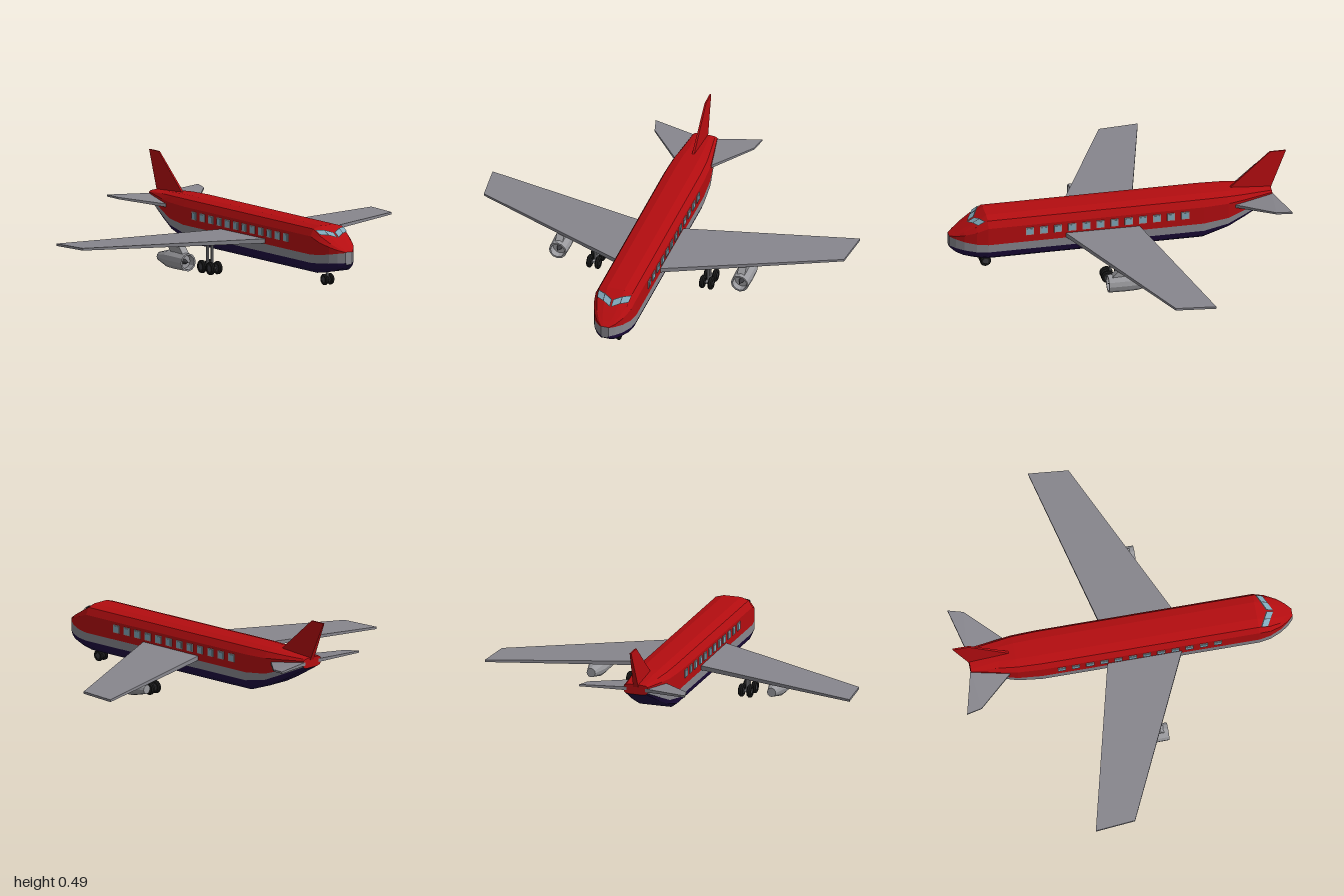
import * as THREE from 'three';
import { ConvexGeometry } from 'three/addons/geometries/ConvexGeometry.js';

const mat = (color) => new THREE.MeshStandardMaterial({ color, flatShading: true, side: THREE.DoubleSide });
const V = (x, y, z) => new THREE.Vector3(x, y, z);
const lerp = THREE.MathUtils.lerp;

// Fuselage stations: x, bottom, belly top, stripe top, roof, half width
const STATIONS = [
  [-0.81, 0.245, 0.257, 0.272, 0.298, 0.065],
  [-0.66, 0.16, 0.19, 0.215, 0.306, 0.09],
  [-0.57, 0.115, 0.152, 0.185, 0.312, 0.104],
  [-0.44, 0.07, 0.127, 0.17, 0.315, 0.11],
  [0.7, 0.07, 0.127, 0.17, 0.315, 0.11],
  [0.76, 0.08, 0.13, 0.175, 0.277, 0.101],
  [0.82, 0.092, 0.135, 0.183, 0.241, 0.077],
  [0.86, 0.108, 0.139, 0.19, 0.216, 0.05],
  [0.89, 0.132, 0.142, 0.195, 0.199, 0.02],
];

// Closed 16-point ring of one station, from the keel up the +z side and down the other
function ring([x, yb, y1, y2, yt, w]) {
  const half = [
    [0, yb], [0.6, yb], [0.88, lerp(yb, y1, 0.4)], [1, y1], [1, y2],
    [1, lerp(y2, yt, 0.66)], [0.82, lerp(y2, yt, 0.91)], [0.42, yt], [0, yt],
  ];
  return Array.from({ length: 17 }, (_, i) => {
    const [f, y] = half[i <= 8 ? i : 16 - i];
    return V(x, y, f * w * (i <= 8 ? 1 : -1));
  });
}
const RINGS = STATIONS.map(ring);

function fromTriangles(points) {
  const g = new THREE.BufferGeometry().setFromPoints(points);
  g.computeVertexNormals();
  return g;
}

// Skin between ring points from..to along the whole fuselage
function band(ranges) {
  const t = [];
  for (let s = 0; s < RINGS.length - 1; s++)
    for (const [from, to] of ranges)
      for (let i = from; i < to; i++) {
        const a = RINGS[s][i], b = RINGS[s + 1][i], c = RINGS[s + 1][i + 1], d = RINGS[s][i + 1];
        t.push(a, b, c, a, c, d);
      }
  return fromTriangles(t);
}

function cap(r, front) {
  const t = [];
  for (let i = 1; i < 15; i++) t.push(r[0], ...(front ? [r[i + 1], r[i]] : [r[i], r[i + 1]]));
  return fromTriangles(t);
}

// Point on the skin at x and fractional ring index
function skin(x, i) {
  const s = STATIONS.findIndex((st, k) => k > 0 && st[0] >= x);
  const f = (x - STATIONS[s - 1][0]) / (STATIONS[s][0] - STATIONS[s - 1][0]);
  const r = ring(STATIONS[s].map((v, k) => lerp(STATIONS[s - 1][k], v, f)));
  const k = Math.min(Math.floor(i), 15);
  return r[k].clone().lerp(r[k + 1], i - k);
}

// Flat surface from [x, y, z, half thickness] corners, thickened along an axis
function slab(corners, axis) {
  const pts = [];
  for (const [x, y, z, h] of corners)
    for (const e of [-h, h]) pts.push(axis === 'y' ? V(x, y + e, z) : V(x, y, z + e));
  return new ConvexGeometry(pts);
}

export function createModel() {
  const model = new THREE.Group();
  model.name = 'airliner';
  const red = mat(0xb40d10), grey = mat(0x87868d), purple = mat(0x1f0c42), black = mat(0x191919);
  const dark = mat(0x3a3a3e), metal = mat(0x9a9a9e), glass = mat(0x7fa9bb);

  const add = (name, geometry, material, x = 0, y = 0, z = 0, parent = model) => {
    const m = new THREE.Mesh(geometry, material);
    m.name = name;
    m.position.set(x, y, z);
    parent.add(m);
    return m;
  };

  // Fuselage in three colour bands
  add('upperFuselage', band([[4, 12]]), red);
  add('stripe', band([[3, 4], [12, 13]]), grey);
  add('belly', band([[0, 3], [13, 16]]), purple);
  add('noseTip', cap(RINGS[RINGS.length - 1], true), grey);
  add('tailCap', cap(RINGS[0], false), red);

  // Tail fin
  add('fin', slab([[-0.6, 0.309, 0, 0.006], [-0.81, 0.285, 0, 0.014],
    [-0.81, 0.495, 0, 0.004], [-0.895, 0.495, 0, 0.004]], 'z'), red);

  // Cockpit panes lie on the sloped nose
  const pane = (i0, i1, x0, x1, grow, lift) => {
    const c = [[x0 - grow, i0], [x1 + grow, i0], [x1 + grow, i1], [x0 - grow, i1]].map(([x, i]) => {
      // Inner ends sit further forward, so the windscreen wraps back
      const sweep = 0.022 * Math.abs(i - 8);
      const p = skin(x - sweep, i);
      return p.add(V(lift, lift, Math.sign(p.z) * lift));
    });
    return fromTriangles([c[0], c[1], c[2], c[0], c[2], c[3]]);
  };
  for (const [a, b] of [[6.1, 6.95], [7.05, 7.92], [8.08, 8.95], [9.05, 9.9]]) {
    add('cockpitFrame', pane(a - 0.05, b + 0.05, 0.757, 0.787, 0.004, 0.002), dark);
    add('cockpitPane', pane(a, b, 0.757, 0.787, 0, 0.004), glass);
  }

  // Shared geometries
  const frameGeo = new THREE.BoxGeometry(0.042, 0.042, 0.006);
  const paneGeo = new THREE.BoxGeometry(0.03, 0.03, 0.01);
  const tyreGeo = new THREE.LatheGeometry([[0.017, -0.011], [0.027, -0.011], [0.033, -0.005],
    [0.033, 0.005], [0.027, 0.011], [0.017, 0.011]].map((p) => new THREE.Vector2(...p)), 14).rotateX(Math.PI / 2);
  const hubGeo = new THREE.CylinderGeometry(0.018, 0.018, 0.016, 10).rotateX(Math.PI / 2);
  // Nacelle profile from the exhaust forward, then back inside the intake
  const nacelleGeo = new THREE.LatheGeometry([[0, -0.1], [0.024, -0.1], [0.047, -0.01], [0.049, 0.05],
    [0.047, 0.15], [0.038, 0.15], [0.036, 0.11]].map((p) => new THREE.Vector2(...p)), 12).rotateZ(-Math.PI / 2);
  const fanGeo = new THREE.CylinderGeometry(0.037, 0.037, 0.004, 12).rotateZ(-Math.PI / 2);
  const spinnerGeo = new THREE.ConeGeometry(0.014, 0.04, 10).rotateZ(-Math.PI / 2);

  const wheel = (x, y, z, scale, parent) => {
    const g = new THREE.Group();
    g.name = 'wheel';
    g.position.set(x, y, z);
    g.scale.setScalar(scale);
    parent.add(g);
    add('tyre', tyreGeo, black, 0, 0, 0, g);
    add('hub', hubGeo, dark, 0, 0, 0, g);
  };

  for (const s of [1, -1]) {
    const side = s > 0 ? 'right' : 'left';

    // Cabin windows
    for (let i = 0; i < 12; i++) {
      const x = -0.34 + i * 0.0747;
      add('windowFrame', frameGeo, metal, x, 0.23, s * 0.111);
      add('windowPane', paneGeo, glass, x, 0.23, s * 0.111);
    }

    // Swept wing and tailplane
    add(side + 'Wing', slab([[0.31, 0.186, s * 0.07, 0.012], [-0.09, 0.183, s * 0.07, 0.012],
      [-0.11, 0.17, s * 0.98, 0.006], [-0.32, 0.168, s * 1, 0.006]], 'y'), grey);
    add(side + 'Tailplane', slab([[-0.57, 0.24, s * 0.06, 0.009], [-0.81, 0.272, s * 0.05, 0.009],
      [-0.79, 0.276, s * 0.27, 0.005], [-0.87, 0.282, s * 0.29, 0.005]], 'y'), grey);

    // Engine on its pylon
    const engine = new THREE.Group();
    engine.name = side + 'Engine';
    engine.position.set(0, 0.09, s * 0.495);
    model.add(engine);
    add('nacelle', nacelleGeo, metal, 0, 0, 0, engine);
    add('fan', fanGeo, metal, 0.112, 0, 0, engine);
    add('spinner', spinnerGeo, dark, 0.134, 0, 0, engine);
    add('pylon', slab([[0.13, 0.04, 0, 0.02], [0.02, 0.04, 0, 0.02],
      [0.09, 0.082, 0, 0.02], [-0.02, 0.082, 0, 0.02]], 'z'), metal, 0, 0, 0, engine);

    // Main landing gear: two legs and four wheels
    const gear = new THREE.Group();
    gear.name = side + 'MainGear';
    gear.position.set(0.077, 0.038, s * 0.307);
    model.add(gear);
    add('bogie', new THREE.BoxGeometry(0.09, 0.012, 0.014), metal, 0, 0, 0, gear);
    for (const e of [-1, 1]) {
      add('leg', new THREE.CylinderGeometry(0.007, 0.007, 0.14, 8), metal, e * 0.02, 0.07, 0, gear);
      add('axle', new THREE.CylinderGeometry(0.006, 0.006, 0.05, 8).rotateX(Math.PI / 2), dark, e * 0.038, 0, 0, gear);
      for (const f of [-1, 1]) wheel(e * 0.038, 0, f * 0.023, 1.05, gear);
    }
  }

  // Nose gear
  const nose = new THREE.Group();
  nose.name = 'noseGear';
  nose.position.set(0.697, 0.03, 0);
  model.add(nose);
  add('leg', new THREE.CylinderGeometry(0.007, 0.007, 0.06, 8), metal, 0, 0.03, 0, nose);
  add('axle', new THREE.CylinderGeometry(0.006, 0.006, 0.04, 8).rotateX(Math.PI / 2), dark, 0, 0, 0, nose);
  for (const f of [-1, 1]) wheel(0, 0, f * 0.018, 0.9, nose);

  return model;
}
